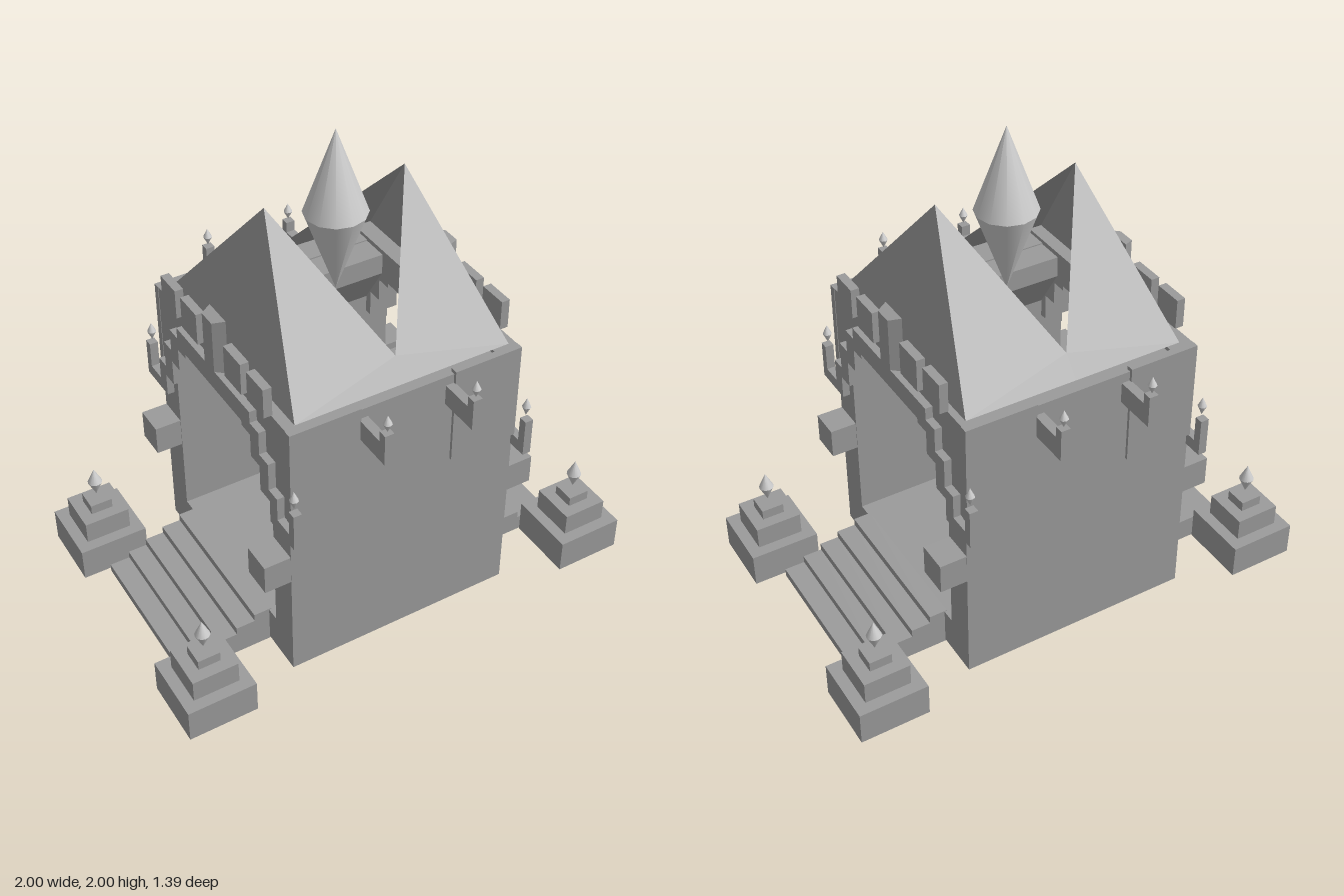
import * as THREE from 'three';

const stone = new THREE.MeshStandardMaterial({ color: 0x9b9b9b });
const roofing = new THREE.MeshStandardMaterial({ color: 0x9b9b9b, flatShading: true, side: THREE.DoubleSide });
const crystal = new THREE.MeshStandardMaterial({ color: 0xcccccc });

export function createModel() {
  const model = new THREE.Group();

  function add(name, geometry, x = 0, y = 0, z = 0, mat = stone) {
    const mesh = new THREE.Mesh(geometry, mat);
    mesh.name = name;
    mesh.position.set(x, y, z);
    model.add(mesh);
  }
  // Box given by its limits on each axis
  function box(name, x0, x1, y0, y1, z0, z1) {
    add(name, new THREE.BoxGeometry(Math.abs(x1 - x0), y1 - y0, Math.abs(z1 - z0)),
      (x0 + x1) / 2, (y0 + y1) / 2, (z0 + z1) / 2);
  }
  // Two cones base to base
  function finial(name, x, y0, y1, z, r, sides) {
    const h = (y1 - y0) / 2;
    add(name + 'Lower', new THREE.ConeGeometry(r, h, sides, 1, true).rotateX(Math.PI), x, y0 + h / 2, z, crystal);
    add(name + 'Upper', new THREE.ConeGeometry(r, h, sides, 1, true), x, y1 - h / 2, z, crystal);
  }
  // Plate with a [z, y] outline, given a thickness along x
  function plate(name, points, x0, x1) {
    const shape = new THREE.Shape(points.map(p => new THREE.Vector2(p[0], p[1])));
    const depth = Math.abs(x1 - x0);
    const geometry = new THREE.ExtrudeGeometry(shape, { depth, bevelEnabled: false });
    geometry.translate(0, 0, -depth / 2).rotateY(-Math.PI / 2);
    add(name, geometry, (x0 + x1) / 2);
  }
  const mirrored = half => half.concat(half.slice().reverse().map(([z, y]) => [-z, y]));

  // Main hall: floor, long walls and sloping vault, open in the middle
  const vault = [[0.45, 1.18], [0.27, 1.18], [0.27, 1.09], [0.39, 0.9], [0.45, 0.9]];
  box('floor', -0.49, 0.49, 0.008, 0.16, -0.518, 0.518);
  for (const s of [-1, 1]) {
    box('longWall', -0.49, 0.49, 0.16, 1.185, s * 0.387, s * 0.518);
    plate('vault', vault.map(([z, y]) => [s * z, y]), -0.44, 0.44);
    for (const e of [-1, 1]) {
      box('wallPanel', e * 0.2, e * 0.492, 0.78, 1.2, s * 0.5, s * 0.53);
    }
  }

  // Stepped arches at both open ends
  const innerSteps = [[0.387, 0.83], [0.355, 0.83], [0.355, 0.945], [0.29, 0.945],
    [0.29, 1.045], [0.225, 1.045], [0.225, 1.065]];
  const archWall = mirrored([[0.518, 1.2], [0.518, 0.8], [0.387, 0.8], ...innerSteps]);
  const archTrim = [[0.6, 0.89], [0.6, 0.73], [0.425, 0.73], [0.425, 0.83], ...innerSteps.slice(1)];
  const outerSteps = [[0.29, 1.15], [0.29, 1.1], [0.355, 1.1], [0.355, 1.0], [0.42, 1.0],
    [0.42, 0.88], [0.48, 0.88], [0.48, 0.78], [0.565, 0.78], [0.565, 0.89]];
  const trimOutline = [...mirrored(archTrim),
    ...outerSteps.slice().reverse().map(([z, y]) => [-z, y]), ...outerSteps];

  for (const e of [-1, 1]) {
    plate('archWall', archWall, e * 0.39, e * 0.49);
    plate('archTrim', trimOutline, e * 0.485, e * 0.52);

    // Keystone with a tapered face
    const keystone = new THREE.BoxGeometry(0.045, 0.235, 0.125);
    const p = keystone.attributes.position;
    for (let i = 0; i < p.count; i++) {
      if (p.getX(i) * e > 0) p.setXYZ(i, p.getX(i), p.getY(i) * 0.93, p.getZ(i) * 0.6);
    }
    keystone.computeVertexNormals();
    add('keystone', keystone, e * 0.505, 1.272, 0);

    for (const s of [-1, 1]) {
      box('archBlock', e * 0.485, e * 0.52, 1.2, 1.325, s * 0.28, s * 0.4);
      box('archBlock', e * 0.485, e * 0.52, 1.19, 1.325, s * 0.107, s * 0.235);
      finial('archFinial', e * 0.503, 0.905, 0.985, s * 0.575, 0.018, 8);
      // Projecting block on the corner post
      box('cornerBlock', e * 0.45, e * 0.6, 0.48, 0.605, s * 0.39, s * 0.517);
      // Lamp arm on the long wall
      const x = e * 0.185;
      box('lampArm', x - 0.019, x + 0.019, 1.06, 1.145, s * 0.5, s * 0.69);
      box('lampPost', x - 0.019, x + 0.019, 1.145, 1.19, s * 0.655, s * 0.69);
      finial('lampFinial', x, 1.195, 1.268, s * 0.675, 0.018, 8);
    }

    // Entrance stairs
    const edges = [0.555, 0.635, 0.715, 0.795, 0.88];
    edges.forEach((edge, i) => {
      box('stair', e * (i ? edges[i - 1] : 0.48), e * edge, 0, 0.163 - i * 0.032, -0.33, 0.33);
    });

    // Tiered pedestals beside the stairs
    for (const s of [-1, 1]) {
      const x = e * 0.857, z = s * 0.483;
      for (const [h, y0, y1] of [[0.143, 0.008, 0.15], [0.095, 0.15, 0.243], [0.046, 0.243, 0.285]]) {
        box('pedestalTier', x - h, x + h, y0, y1, z - h, z + h);
      }
      finial('pedestalFinial', x, 0.303, 0.433, z, 0.03, 12);
    }
  }

  // Twin-peaked roof shell, notched down the middle
  const triangles = [];
  const tri = (...corners) => corners.forEach(c => triangles.push(...c));
  for (const s of [-1, 1]) {
    for (const e of [-1, 1]) {
      const corner = [e * 0.454, 1.2, s * 0.483], apex = [e * 0.292, 1.77, 0];
      const valley = [0, 1.28, s * 0.416], eave = [0, 1.2, s * 0.483];
      if (s * e > 0) {
        tri(eave, corner, valley);
        tri(corner, apex, valley);
      } else {
        tri(eave, valley, corner);
        tri(corner, valley, apex);
      }
    }
    tri([s * 0.454, 1.2, s * 0.483], [s * 0.454, 1.2, -s * 0.483], [s * 0.292, 1.77, 0]);
  }
  const roof = new THREE.BufferGeometry();
  roof.setAttribute('position', new THREE.Float32BufferAttribute(triangles, 3));
  roof.computeVertexNormals();
  add('roof', roof, 0, 0, 0, roofing);

  // Large crystal floating between the peaks
  finial('crystal', 0, 1.325, 2, 0, 0.123, 12);

  // The hall sits slightly off the centre of the roof and pedestals
  for (const part of model.children) {
    if (!/^(pedestal|roof|crystal)/.test(part.name)) part.position.x -= 0.008;
    if (!/^(roof|crystal)/.test(part.name)) part.position.z -= 0.004;
  }
  return model;
}
